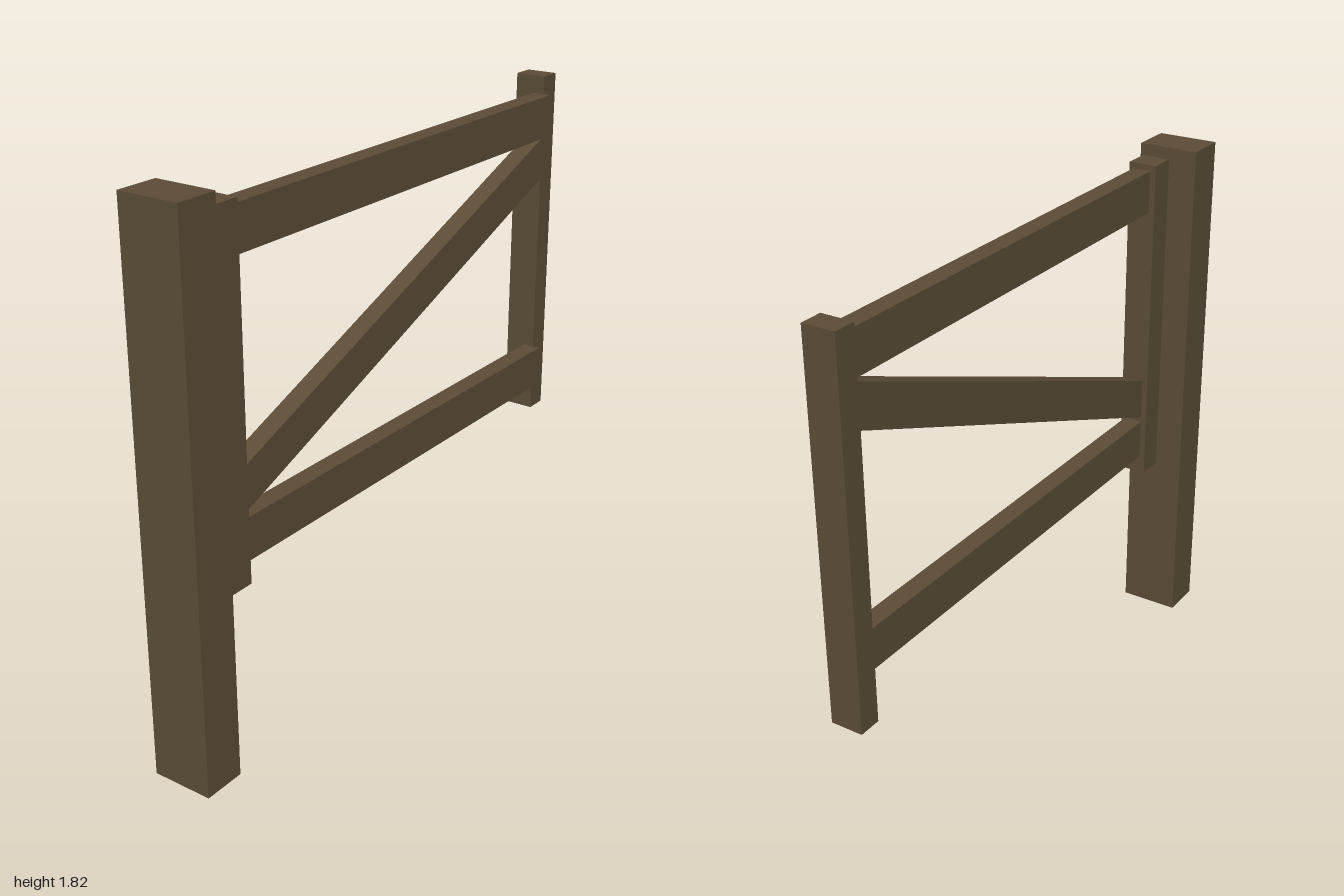
import * as THREE from 'three';

const wood = new THREE.MeshStandardMaterial({ color: 0x5c4d38, side: THREE.DoubleSide });

// Box side numbers, in the order BoxGeometry builds them
const BOTTOM = 3, FRONT = 4, BACK = 5;

// Timber given by its extents, with some sides left open;
// rise lifts the back end above the front end, keeping both ends vertical
function timber(name, [x0, x1], [y0, y1], [z0, z1], open = [], rise = 0) {
  const length = z1 - z0;
  const geometry = new THREE.BoxGeometry(x1 - x0, y1 - y0, length);
  const index = Array.from(geometry.index.array);
  geometry.setIndex(index.filter((_, i) => !open.includes(Math.floor(i / 6))));
  geometry.clearGroups();

  const p = geometry.attributes.position;
  for (let i = 0; i < p.count; i++) {
    p.setY(i, p.getY(i) + rise * (0.5 - p.getZ(i) / length));
  }
  geometry.computeVertexNormals();

  const mesh = new THREE.Mesh(geometry, wood);
  mesh.name = name;
  mesh.position.set((x0 + x1) / 2, (y0 + y1) / 2, (z0 + z1) / 2);
  return mesh;
}

export function createModel() {
  const gate = new THREE.Group();
  gate.name = 'fieldGate';

  // Uprights: ground post, hinge stile against it, and the free end stile
  gate.add(
    timber('groundPost', [-0.105, 0.105], [0, 1.82], [0.855, 1], [BOTTOM]),
    timber('hingeStile', [-0.005, 0.095], [0.615, 1.78], [0.76, 0.855], [BOTTOM]),
    timber('endStile', [-0.057, 0.052], [0.575, 1.82], [-1, -0.923]),
  );

  // Two level rails and the sloping brace between them
  const railX = [0.015, 0.08], railZ = [-0.918, 0.76], ends = [FRONT, BACK];
  gate.add(
    timber('topRail', railX, [1.615, 1.76], railZ, ends),
    timber('bottomRail', railX, [0.68, 0.822], railZ, ends),
    timber('diagonalBrace', railX, [0.84, 0.985], railZ, ends, 0.65),
  );
  return gate;
}
